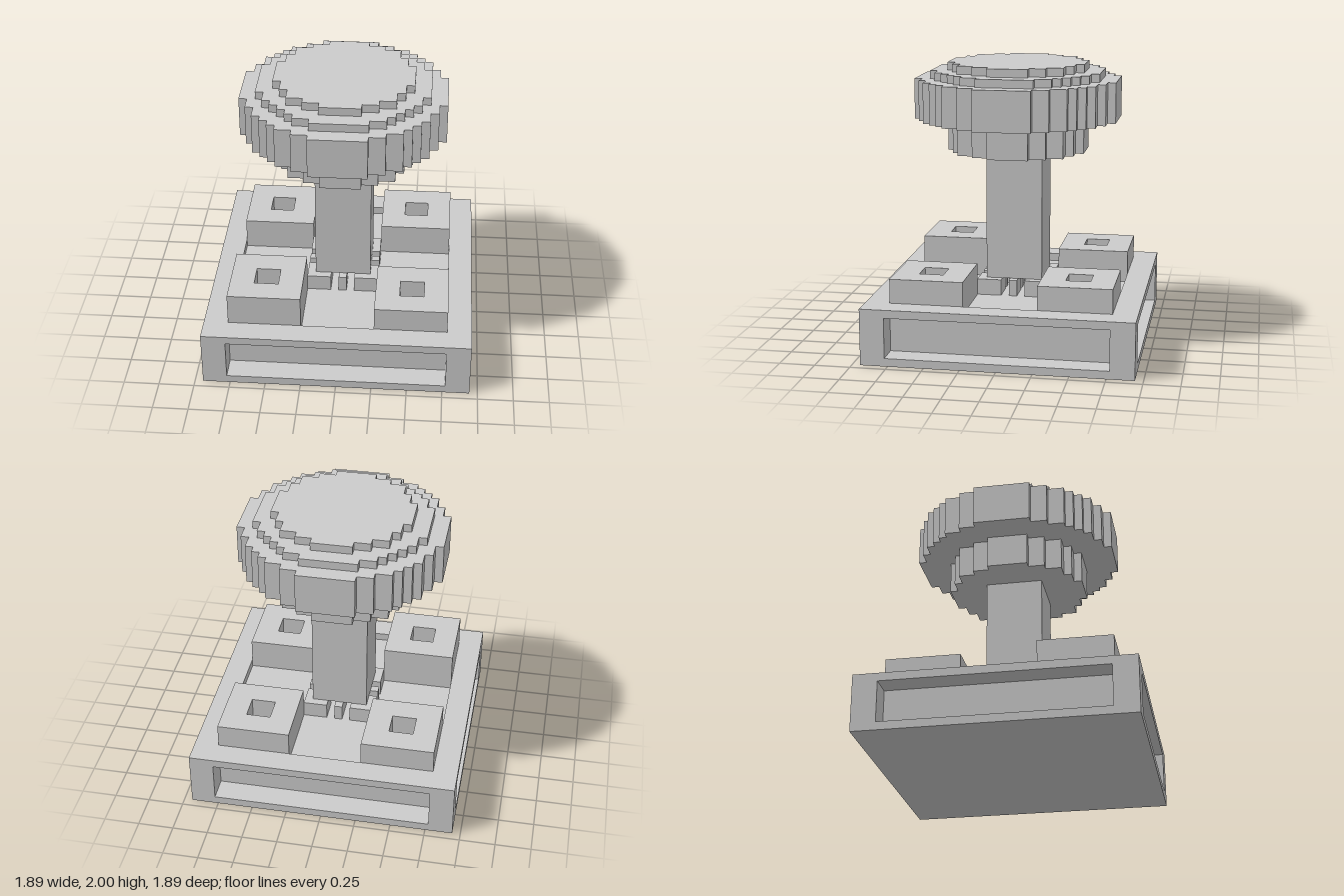
import * as THREE from 'three';

const U = 2 / 35; // one grid cell
const material = new THREE.MeshStandardMaterial({ color: 0xcccccc, flatShading: true });

function add(parent, name, geometry, x, y, z) {
  const mesh = new THREE.Mesh(geometry, material);
  mesh.name = name;
  mesh.position.set(x * U, y * U, z * U);
  parent.add(mesh);
}

// Box standing on y0, sizes in cells
function box(parent, name, w, d, y0, y1, x = 0, z = 0) {
  add(parent, name, new THREE.BoxGeometry(w * U, (y1 - y0) * U, d * U), x, (y0 + y1) / 2, z);
}

// Upright prism from a flat outline
function prism(parent, name, shape, y0, y1, x = 0, z = 0) {
  const geometry = new THREE.ExtrudeGeometry(shape, { depth: (y1 - y0) * U, bevelEnabled: false });
  geometry.rotateX(-Math.PI / 2);
  add(parent, name, geometry, x, y0, z);
}

const outline = (points) => points.map(([x, y]) => new THREE.Vector2(x * U, y * U));

function squareRing(outer, inner) {
  const square = (s) => outline([[-s / 2, -s / 2], [s / 2, -s / 2], [s / 2, s / 2], [-s / 2, s / 2]]);
  const shape = new THREE.Shape(square(outer));
  shape.holes.push(new THREE.Path(square(inner)));
  return shape;
}

// Circle stepped to the grid, radius in cells
function steppedDisc(radius) {
  const n = Math.floor(radius);
  const reach = (row) => Math.floor(Math.sqrt(radius * radius - row * row)) + 0.5;
  const right = [];
  for (let row = -n; row <= n; row++) {
    const x = reach(row);
    if (row > -n && x === reach(row - 1)) right.pop();
    else right.push([x, row - 0.5]);
    right.push([x, row + 0.5]);
  }
  const left = right.map(([x, y]) => [-x, y]).reverse();
  return new THREE.Shape(outline([...right, ...left]));
}

export function createModel() {
  const model = new THREE.Group();
  model.name = 'pedestal';

  // Base: framed panels on all sides and a shallow tray on top
  const base = new THREE.Group();
  base.name = 'base';
  model.add(base);
  box(base, 'bottomSlab', 33, 33, 0, 1);
  box(base, 'core', 27, 27, 1, 6);
  prism(base, 'topRim', squareRing(33, 27), 6, 7);

  // Corner posts, and hollow blocks standing in the tray
  for (const sx of [-1, 1]) {
    for (const sz of [-1, 1]) {
      box(base, 'cornerPost', 3, 3, 1, 6, 15 * sx, 15 * sz);
      const top = sx < 0 && sz > 0 ? 11 : 10;
      prism(base, 'cornerBlock', squareRing(9, 3), 6, top, 9 * sx, 9 * sz);
    }
  }

  // Foot plate cut by crossing slots
  const strips = [[-3, 3], [0, 1], [3, 3]];
  for (const [x, w] of strips) {
    for (const [z, d] of strips) box(model, 'footPlate', w, d, 6, 8, x, z);
  }

  box(model, 'column', 7, 7, 8, 24);

  // Stepped round head
  const head = new THREE.Group();
  head.name = 'head';
  model.add(head);
  prism(head, 'headCollar', steppedDisc(8.5), 24, 28);
  prism(head, 'headDrum', steppedDisc(12.5), 28, 33);
  prism(head, 'headStep', steppedDisc(10.5), 33, 34);
  prism(head, 'headTop', steppedDisc(8.5), 34, 35);

  return model;
}
